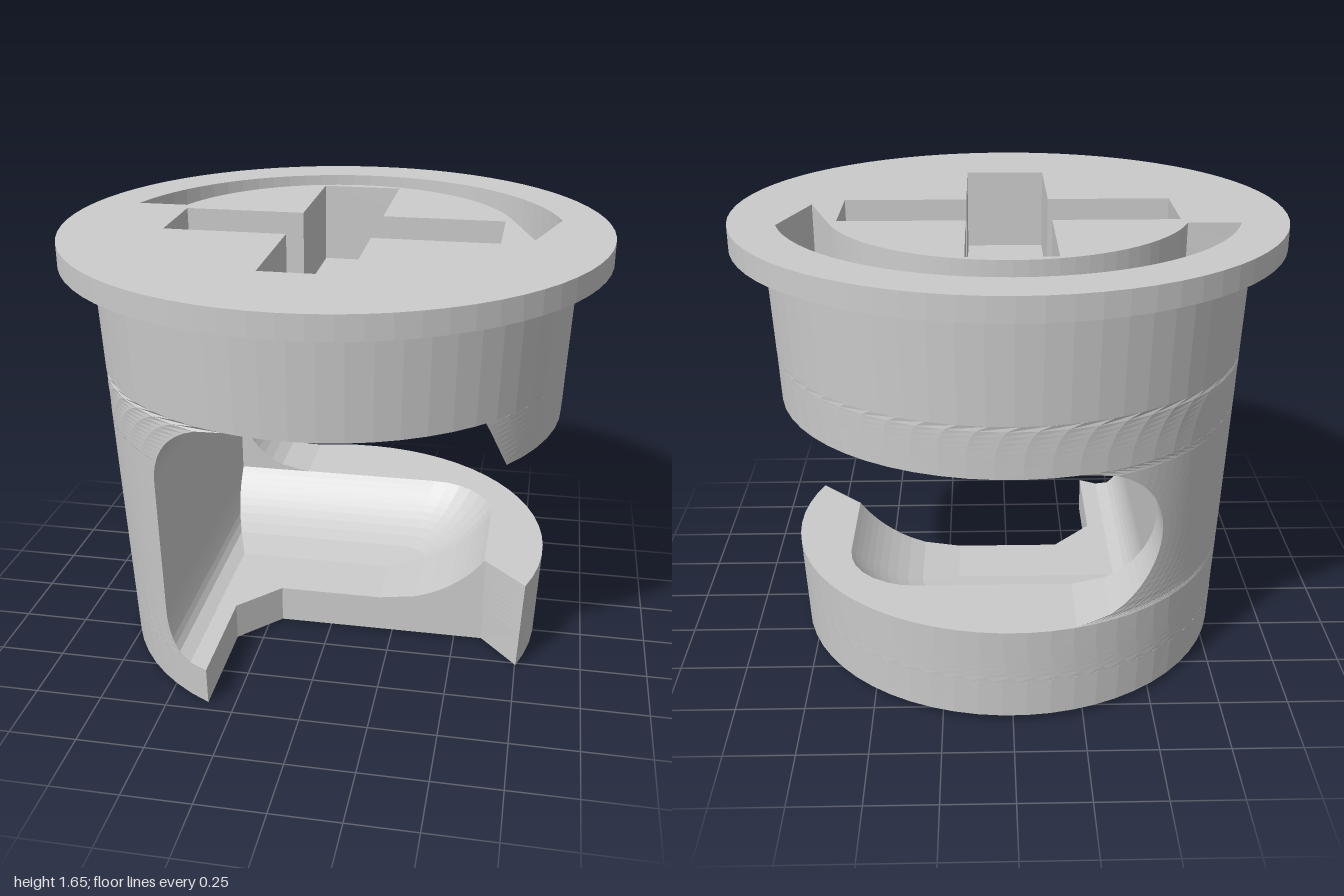
import * as THREE from 'three';

const material = new THREE.MeshStandardMaterial({ color: 0xcccccc, flatShading: true, side: THREE.DoubleSide });

// Heights of the stages of the body
const BOTTOM = 0.014, FLOOR = 0.16, SLOT_LOW = 0.37, SLOT_HIGH = 0.97, ROOF = 1.16, FLANGE = 1.55, TOP = 1.635;
const CUT_Z = 0.14, CUT_OUT = 0.3, STEP_Z = -0.51, BORE = 0.21;

// Radius of the tapered body at height y
const radius = (y) => 0.81 + 0.07 * y / FLANGE;
const edgeZ = (x, y) => Math.sqrt(radius(y) ** 2 - x * x);
const root = (v) => Math.sqrt(Math.max(0, v));

// Outlines are lists of [x, z], counter-clockwise from above
const arc = (cx, cz, r, a0, a1, n) => Array.from({ length: n + 1 }, (_, i) => {
  const a = a0 + (a1 - a0) * i / n;
  return [cx + r * Math.cos(a), cz + r * Math.sin(a)];
});
const circle = (r, n = 60) => arc(0, 0, r, 0, -2 * Math.PI, n).slice(0, -1);

// Outer arc from p0 round the back to p1, closed by inner points
function section(y, p0, p1, inner) {
  const a0 = Math.atan2(p0[1], p0[0]);
  const a1 = Math.atan2(p1[1], p1[0]) - 2 * Math.PI;
  return [...arc(0, 0, radius(y), a0, a1, 44), ...inner];
}

// Walls through a stack of outlines with equal point counts
function loft(levels, outlineAt) {
  const pos = [], index = [];
  const rings = levels.map(outlineAt);
  const n = rings[0].length;
  rings.forEach((ring, k) => ring.forEach(([x, z]) => pos.push(x, levels[k], z)));
  for (let k = 0; k < rings.length - 1; k++) {
    for (let i = 0; i < n; i++) {
      const j = (i + 1) % n, a = k * n, b = a + n;
      index.push(a + i, a + j, b + j, a + i, b + j, b + i);
    }
  }
  const g = new THREE.BufferGeometry();
  g.setAttribute('position', new THREE.Float32BufferAttribute(pos, 3));
  g.setIndex(index);
  const flat = g.toNonIndexed();
  flat.computeVertexNormals();
  return flat;
}

function shapeOf(outline, holes = [], sign = -1) {
  const points = (o) => o.map(([x, z]) => new THREE.Vector2(x, sign * z));
  const shape = new THREE.Shape(points(outline));
  shape.holes = holes.map((h) => new THREE.Path(points(h)));
  return shape;
}

// Flat horizontal face looking up or down
function cap(outline, y, up, holes = []) {
  const g = new THREE.ShapeGeometry(shapeOf(outline, holes, up ? -1 : 1));
  return g.rotateX(up ? -Math.PI / 2 : Math.PI / 2).translate(0, y, 0);
}

const steps = (a, b, n) => Array.from({ length: n + 1 }, (_, i) => a + (b - a) * i / n);

// Left wall of the pocket, rounded into floor and roof
function wallX(y) {
  if (y < 0.33) return -0.42 - 0.1 * root(1 - ((0.33 - y) / 0.17) ** 2);
  if (y > 0.87) return -0.22 - 0.3 * root(1 - ((y - 0.87) / 0.29) ** 2);
  return -0.52;
}

// Back and right side of the pocket, following a round profile
function pocketRim(y) {
  const c = root(0.25 - (y - 0.66) ** 2);
  const r = 0.65 * c, x = 0.2 + c, z = -0.105 - c;
  return [[wallX(y), z], ...arc(x - r, z + r, r, -Math.PI / 2, 0, 7)];
}

const cutEnd = (y) => [root(radius(y) ** 2 - CUT_OUT ** 2), CUT_OUT];

// Base plate with the notch at the front
const baseSection = (y) => section(y, cutEnd(y), [-0.35, edgeZ(-0.35, y)],
  [[-0.35, CUT_OUT], [-0.2, CUT_Z], [0.61, CUT_Z]]);

// Lower lip around the pocket
const lowerSection = (y) => {
  const rim = pocketRim(y);
  return section(y, cutEnd(y), [wallX(y), edgeZ(wallX(y), y)],
    [...rim, [rim[rim.length - 1][0], CUT_Z], [0.61, CUT_Z]]);
};

// Standing wall beside the slot, with the round slot end at the back
const wallSection = (y) => {
  const x = wallX(y), s = -0.22 - root(0.09 - (y - 0.67) ** 2);
  return section(y, [s, -edgeZ(s, y)], [x, edgeZ(x, y)], [[x, STEP_Z], [s, STEP_Z]]);
};

// Upper lip, open to the front
const upperSection = (y) => {
  const x = 0.68 - 0.07 * (y - SLOT_HIGH) / (ROOF - SLOT_HIGH);
  return section(y, [x, edgeZ(x, y)], [wallX(y), edgeZ(wallX(y), y)], pocketRim(y));
};

// Cross-shaped driver recess
function crossOutline() {
  const w = 0.152, l = 0.605;
  return [[l, w], [l, -w], [w, -w], [w, -l], [-w, -l], [-w, -w],
    [-l, -w], [-l, w], [-w, w], [-w, l], [w, l], [w, w]];
}

// Curved arrow recess
function arrowOutline() {
  const band = (r, flip) => {
    const a = Math.asin(0.22 / r);
    const pts = arc(0, 0.02, r, -a, a - Math.PI, 32);
    return flip ? pts.reverse() : pts;
  };
  return [[0.72, 0.09], ...band(0.84, false), ...band(0.66, true)];
}

export function createModel() {
  const model = new THREE.Group();
  const body = new THREE.Group();
  body.name = 'camFitting';
  model.add(body);

  const add = (name, ...geometries) => {
    const group = new THREE.Group();
    group.name = name;
    geometries.forEach((g) => {
      const mesh = new THREE.Mesh(g, material);
      mesh.name = name;
      group.add(mesh);
    });
    body.add(group);
  };

  add('basePlate', loft([BOTTOM, FLOOR], baseSection),
    cap(baseSection(BOTTOM), BOTTOM, false), cap(baseSection(FLOOR), FLOOR, true));
  add('lowerLip', loft(steps(FLOOR, SLOT_LOW, 10), lowerSection), cap(lowerSection(SLOT_LOW), SLOT_LOW, true));
  add('sideWall', loft(steps(SLOT_LOW, SLOT_HIGH, 24), wallSection));
  add('upperLip', loft(steps(SLOT_HIGH, ROOF, 10), upperSection), cap(upperSection(SLOT_HIGH), SLOT_HIGH, false));
  add('upperBody', loft([ROOF, FLANGE], (y) => circle(radius(y))),
    cap(circle(radius(ROOF)), ROOF, false, [circle(BORE, 40)]));

  // Flange with both recesses cut through, and their walls and floors below
  const cross = crossOutline(), arrow = arrowOutline();
  const flange = new THREE.ExtrudeGeometry(shapeOf(circle(1, 72), [cross, arrow]),
    { depth: TOP - FLANGE, bevelEnabled: false });
  add('flange', flange.rotateX(-Math.PI / 2).translate(0, FLANGE, 0));

  const crossFloor = 1.33, arrowFloor = 1.45;
  const inward = (outline) => () => [...outline].reverse();
  add('crossRecess', loft([crossFloor, FLANGE], inward(cross)),
    cap(cross, crossFloor, true, [circle(BORE, 40)]));
  add('arrowRecess', loft([arrowFloor, FLANGE], inward(arrow)), cap(arrow, arrowFloor, true));
  add('centreBore', loft([ROOF, crossFloor], inward(circle(BORE, 40))));

  // The fitting leans very slightly forward
  body.rotation.x = 0.0165;
  body.position.z = -0.027;
  return model;
}
